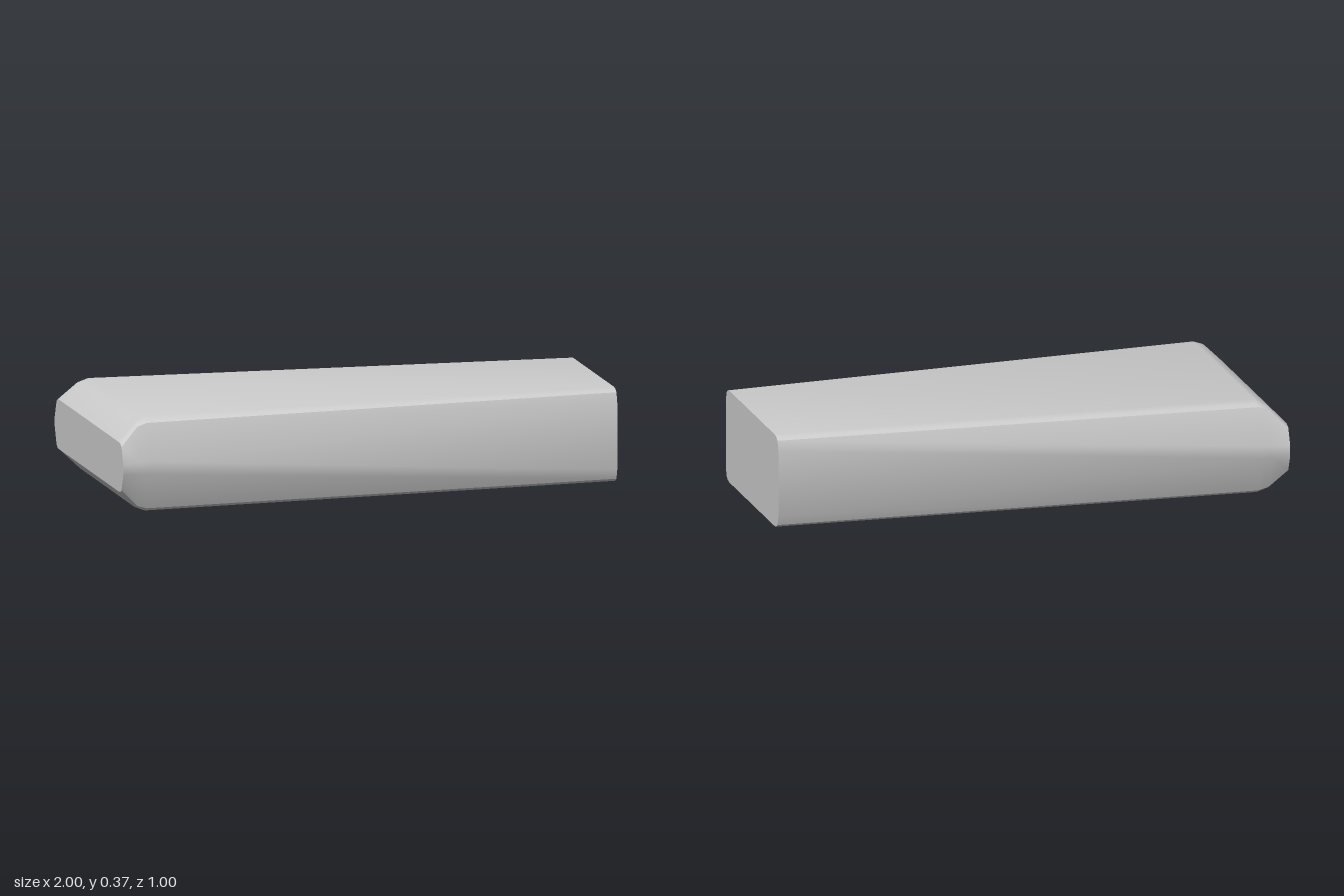
import * as THREE from 'three';
import { toCreasedNormals } from 'three/addons/utils/BufferGeometryUtils.js';

const HEIGHT = 0.367;

// Each section: x, then one quarter of the outline as [z, y], top edge to side.
const SECTIONS = [
  { x: 1, quarter: [[0.30, 0.367], [0.322, 0.362], [0.335, 0.352], [0.347, 0.315]] },
  { x: -0.89, quarter: [[0.385, 0.367], [0.42, 0.362], [0.44, 0.35], [0.492, 0.208]] },
  { x: -0.93, quarter: [[0.395, 0.349], [0.425, 0.347], [0.445, 0.338], [0.495, 0.206]] },
  { x: -1, quarter: [[0.41, 0.28], [0.455, 0.279], [0.474, 0.268], [0.5, 0.204]] },
];

// Mirror a quarter outline into a closed ring.
function ring({ x, quarter }) {
  const lower = quarter.map(([z, y]) => [z, HEIGHT - y]).reverse();
  const half = [...quarter, ...lower];
  const other = half.map(([z, y]) => [-z, y]).reverse();
  return [...half, ...other].map(([z, y]) => [x, y, z]);
}

// Skin the rings and close both ends.
function loft(rings) {
  const n = rings[0].length;
  const index = [];
  for (let s = 0; s < rings.length - 1; s++) {
    for (let i = 0; i < n; i++) {
      const a = s * n + i;
      const b = s * n + ((i + 1) % n);
      index.push(a, a + n, b, b, a + n, b + n);
    }
  }
  const last = (rings.length - 1) * n;
  for (let i = 1; i < n - 1; i++) {
    index.push(0, i, i + 1);
    index.push(last, last + i + 1, last + i);
  }
  const geometry = new THREE.BufferGeometry();
  geometry.setAttribute('position', new THREE.Float32BufferAttribute(rings.flat(2), 3));
  geometry.setIndex(index);
  return toCreasedNormals(geometry, 0.47);
}

export function createModel() {
  const group = new THREE.Group();
  group.name = 'taperedBlock';

  // Tapered body with a chamfered wide end
  const body = new THREE.Mesh(
    loft(SECTIONS.map(ring)),
    new THREE.MeshStandardMaterial({ color: 0xcccccc })
  );
  body.name = 'body';
  group.add(body);
  return group;
}
